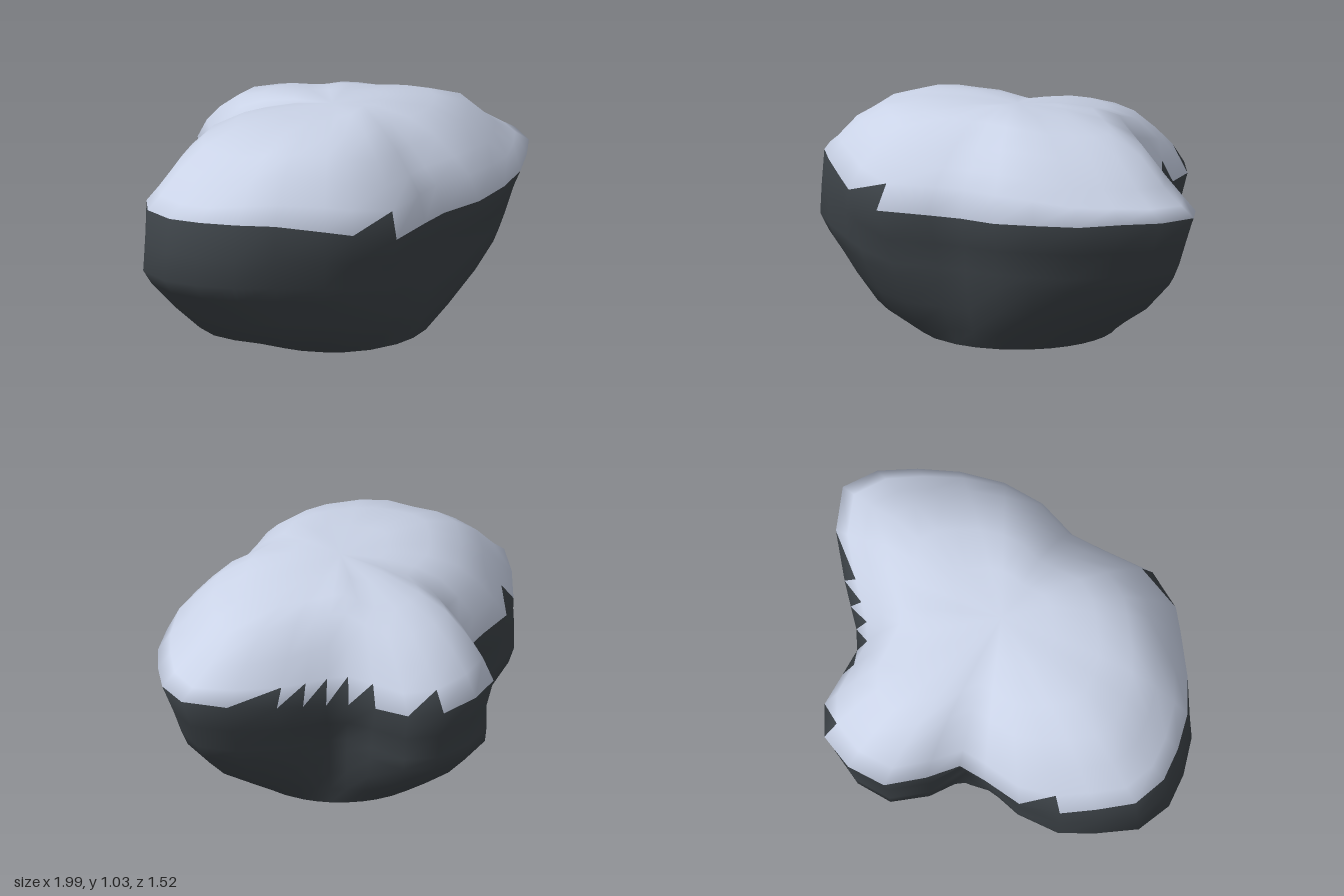
import * as THREE from 'three';

// Widest outline of the boulder: x, z and height of the snow line
const RIM = [
  [1, 0.29, 0.66], [0.92, 0.44, 0.66], [0.78, 0.55, 0.66], [0.62, 0.65, 0.65], [0.43, 0.72, 0.65],
  [0.24, 0.74, 0.64], [0.05, 0.70, 0.63], [-0.1, 0.72, 0.63], [-0.34, 0.76, 0.63], [-0.53, 0.67, 0.68],
  [-0.62, 0.58, 0.70], [-0.77, 0.42, 0.73], [-0.87, 0.28, 0.73], [-0.93, 0.12, 0.72], [-0.96, -0.03, 0.71],
  [-0.92, -0.19, 0.7], [-0.79, -0.31, 0.68], [-0.66, -0.4, 0.63], [-0.49, -0.47, 0.64], [-0.3, -0.465, 0.63],
  [-0.17, -0.47, 0.62], [-0.08, -0.6, 0.62], [0.05, -0.74, 0.63], [0.23, -0.76, 0.63], [0.4, -0.7, 0.61],
  [0.49, -0.57, 0.6], [0.505, -0.41, 0.6], [0.52, -0.28, 0.59], [0.58, -0.2, 0.59], [0.66, -0.13, 0.6],
  [0.75, -0.05, 0.61], [0.91, 0.11, 0.64],
];
const CENTRE_Z = 0.09, BASE_RADIUS = 0.44, PEAK = 1.035, POLE = 1.01;

// Sides: height fraction, then spread from base to rim facing right, left, front, back
const SIDE = [
  [0, 0, 0, 0, 0], [0.13, 0.23, 0.5, 0.23, 0.27], [0.3, 0.53, 0.73, 0.45, 0.6],
  [0.5, 0.76, 0.97, 0.62, 0.88], [0.6, 0.82, 1.06, 0.66, 0.9], [0.78, 0.9, 1.04, 0.77, 0.9], [1, 1, 1, 1, 1],
];
// Crown: radius fraction, then rise from rim to peak facing right, left, front, back
const CROWN = [
  [0.93, 0.11, 0.16, 0.3, 0.24], [0.83, 0.29, 0.46, 0.48, 0.45], [0.7, 0.61, 0.72, 0.69, 0.65],
  [0.52, 0.79, 0.9, 0.9, 0.78], [0.28, 0.9, 0.95, 1, 0.88],
];
// Columns hollowed below the snow line, and columns with a steeper crown
const HOLLOW = { 18: 0.06, 19: 0.12, 20: 0.12, 26: 0.08, 27: 0.14, 28: 0.15, 29: 0.1, 30: 0.05 };
const STEEP = {
  4: 0.1, 5: 0.1, 8: 0.08, 9: 0.2, 10: 0.35, 11: 0.35, 12: 0.25,
  26: 0.25, 27: 0.5, 28: 0.5, 29: 0.4, 30: 0.3, 31: 0.15,
};
// Columns where bare rock breaks through the snow line
const BARE = new Set([8, 17, 24, 26, 27, 28, 29, 30]);

const lerp = THREE.MathUtils.lerp;

function meshFrom(name, positions, index, material) {
  const geometry = new THREE.BufferGeometry();
  geometry.setAttribute('position', new THREE.Float32BufferAttribute(positions, 3));
  geometry.setIndex(index);
  geometry.computeVertexNormals();
  const mesh = new THREE.Mesh(geometry, material);
  mesh.name = name;
  return mesh;
}

// Blends the four facing values by direction
function blend([, right, left, front, back], ux, uz) {
  return ux * ux * (ux > 0 ? right : left) + uz * uz * (uz > 0 ? front : back);
}

export function createModel() {
  const rock = new THREE.MeshStandardMaterial({ color: 0x3d4348 });
  rock.name = 'dark rock';
  const snow = new THREE.MeshStandardMaterial({ color: 0xcbd4e8 });
  snow.name = 'pale snow';

  const n = RIM.length;
  const columns = RIM.map(([x, z, rimY], i) => {
    const r = Math.hypot(x, z - CENTRE_Z);
    return { r, rimY, ux: x / r, uz: (z - CENTRE_Z) / r, hollow: HOLLOW[i] ?? 0, steep: STEEP[i] ?? 0 };
  });
  const positions = [];

  // Rings from the base up to the snow line
  for (const row of SIDE) {
    for (const { r, rimY, ux, uz, hollow } of columns) {
      const radius = lerp(BASE_RADIUS, r, blend(row, ux, uz)) * (1 - hollow * Math.sin(Math.PI * row[0]));
      positions.push(ux * radius, rimY * row[0], CENTRE_Z + uz * radius);
    }
  }
  // Rings over the crown
  for (const row of CROWN) {
    const t = row[0];
    for (const { r, rimY, ux, uz, steep } of columns) {
      const rise = lerp(blend(row, ux, uz), 0.96, steep * Math.min(1, 4 * (1 - t)));
      positions.push(ux * r * t, lerp(rimY, PEAK, rise), CENTRE_Z + uz * r * t);
    }
  }
  const pole = positions.length / 3;
  positions.push(0, POLE, CENTRE_Z);

  // Rock below, snow above, with jagged teeth along the border
  const rockFaces = [], snowFaces = [];
  const rimRow = SIDE.length - 1, lastRow = SIDE.length + CROWN.length - 1;
  for (let k = 0; k < lastRow; k++) {
    for (let i = 0; i < n; i++) {
      const j = (i + 1) % n;
      const a = k * n + i, b = k * n + j, c = a + n, d = b + n;
      const tooth = k === rimRow && BARE.has(i);
      (k < rimRow || tooth ? rockFaces : snowFaces).push(a, c, b);
      (k < rimRow ? rockFaces : snowFaces).push(b, c, d);
    }
  }
  for (let i = 0; i < n; i++) snowFaces.push(lastRow * n + i, pole, lastRow * n + (i + 1) % n);

  const boulder = meshFrom('snowCappedBoulder', positions, [...rockFaces, ...snowFaces], [rock, snow]);
  boulder.geometry.addGroup(0, rockFaces.length, 0);
  boulder.geometry.addGroup(rockFaces.length, snowFaces.length, 1);

  // Flat underside
  const basePositions = [0, 0, CENTRE_Z, ...positions.slice(0, n * 3)];
  const baseFaces = [];
  for (let i = 0; i < n; i++) baseFaces.push(0, i + 1, ((i + 1) % n) + 1);
  const base = meshFrom('flatBase', basePositions, baseFaces, rock);

  const group = new THREE.Group();
  group.name = 'snowyRock';
  group.add(boulder, base);
  return group;
}
